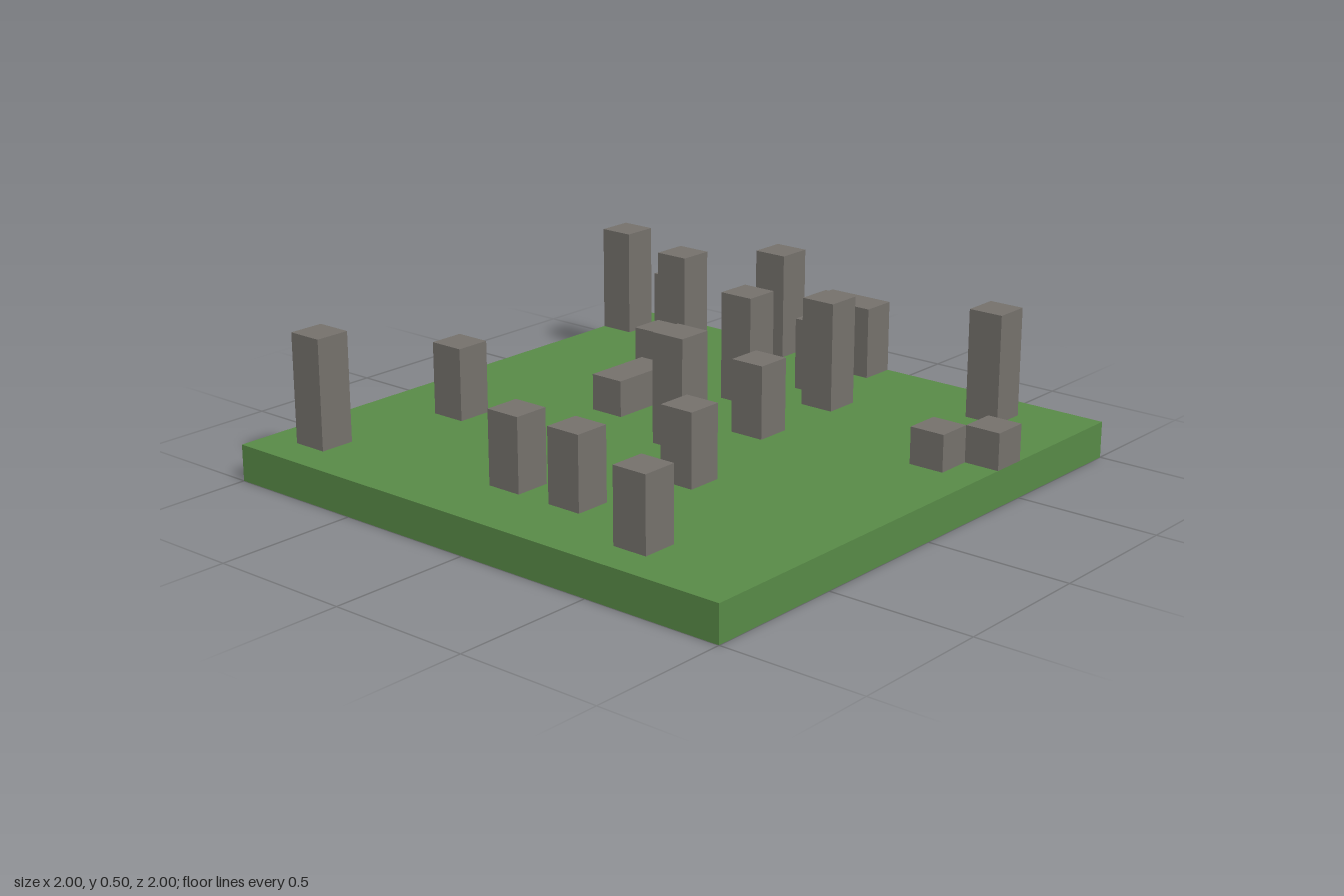
import * as THREE from 'three';

const UNIT = 0.125; // one grid cell; the board is 16 x 16 cells

// Pillars: [column from the right edge, row from the back, height, columns wide, rows deep]
const PILLARS = [
  [5, 0, 3], [7, 0, 2, 2, 1],
  [0, 1, 3], [2, 1, 2], [13, 1, 3],
  [3, 2, 3], [8, 2, 2],
  [3, 3, 1], [9, 3, 3],
  [7, 4, 3], [15, 4, 1], [14, 5, 1],
  [5, 6, 1, 1, 2], [9, 6, 2],
  [8, 8, 3],
  [2, 10, 2], [10, 10, 2],
  [7, 13, 2], [9, 13, 2],
  [1, 14, 3], [12, 14, 2],
];

export function createModel() {
  const grass = new THREE.MeshStandardMaterial({ color: 0x588a47 });
  grass.name = 'grass green';
  const stone = new THREE.MeshStandardMaterial({ color: 0x75716c });
  stone.name = 'stone grey';

  const model = new THREE.Group();
  model.name = 'pillarField';

  // Places a box given its corner and size in grid cells
  function block(name, material, parent, col, row, level, w, h, d) {
    const mesh = new THREE.Mesh(new THREE.BoxGeometry(w * UNIT, h * UNIT, d * UNIT), material);
    mesh.name = name;
    mesh.position.set((col + w / 2) * UNIT - 1, (level + h / 2) * UNIT, (row + d / 2) * UNIT - 1);
    parent.add(mesh);
  }

  // Ground slab
  block('ground', grass, model, 0, 0, 0, 16, 1, 16);

  // Stone pillars standing on the slab
  const pillars = new THREE.Group();
  pillars.name = 'pillars';
  model.add(pillars);
  PILLARS.forEach(([col, row, height, wide = 1, deep = 1], i) => {
    block(`pillar${i + 1}`, stone, pillars, col, row, 1, wide, height, deep);
  });

  return model;
}
